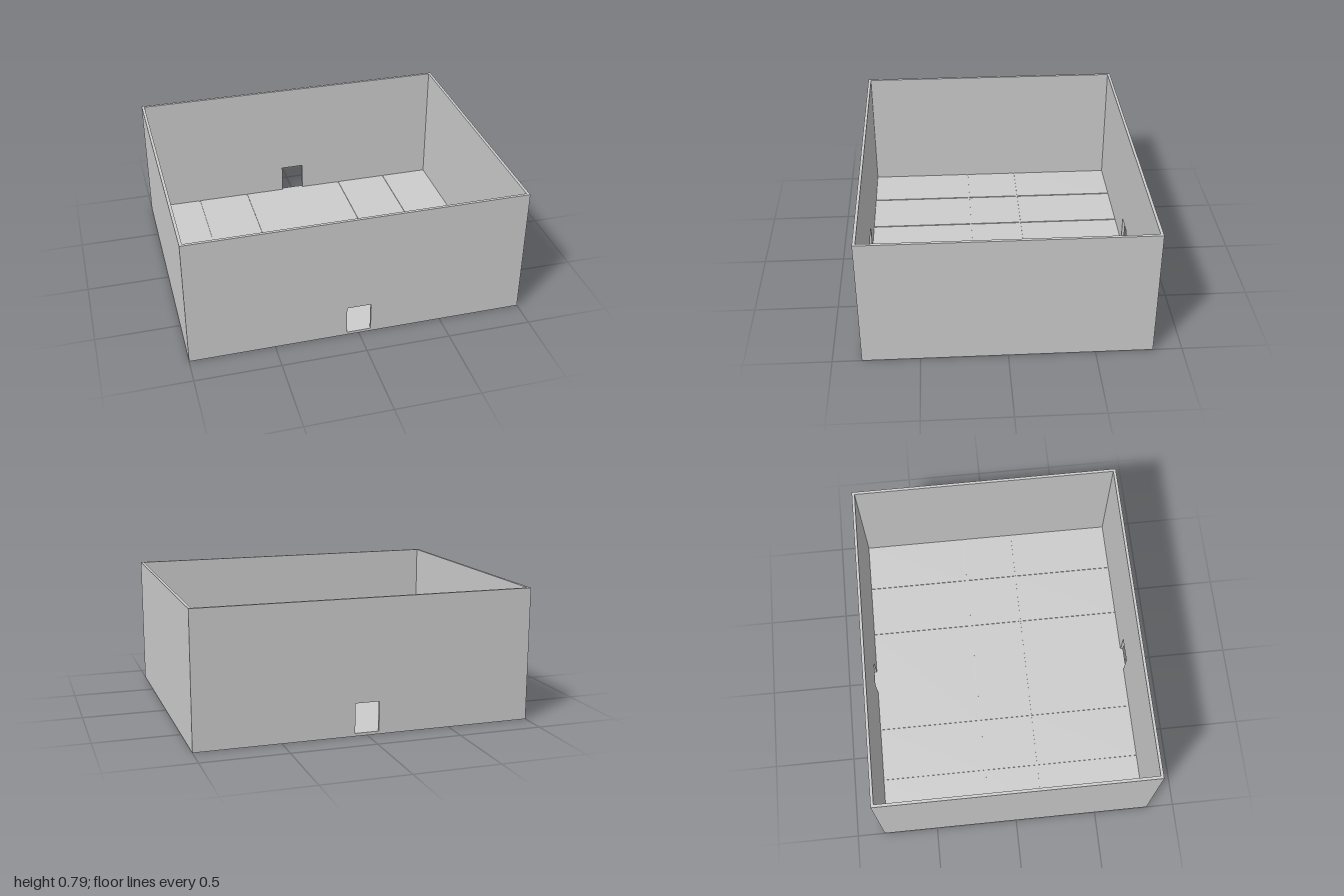
import * as THREE from 'three';

const W = 2, D = 1.664, H = 0.79;      // outer size
const T = 0.017;                       // wall and floor thickness
const GROOVE = 0.01, BASE = 0.012;     // floor joint width, slab height

export function createModel() {
  const model = new THREE.Group();
  model.name = 'openRoom';
  const grey = new THREE.MeshStandardMaterial({ color: 0xcccccc });
  grey.name = 'plain grey';

  const add = (name, geometry, x, y, z) => {
    const mesh = new THREE.Mesh(geometry, grey);
    mesh.name = name;
    mesh.position.set(x, y, z);
    model.add(mesh);
  };

  // Front and back walls, each with a doorway just above the floor
  const wall = new THREE.Shape([
    new THREE.Vector2(-W / 2, 0), new THREE.Vector2(W / 2, 0),
    new THREE.Vector2(W / 2, H), new THREE.Vector2(-W / 2, H),
  ]);
  wall.holes.push(new THREE.Path([
    new THREE.Vector2(-0.072, T), new THREE.Vector2(-0.072, 0.192),
    new THREE.Vector2(0.072, 0.192), new THREE.Vector2(0.072, T),
  ]));
  const wallGeometry = new THREE.ExtrudeGeometry(wall, { depth: T, bevelEnabled: false });
  add('frontWall', wallGeometry, 0, 0, D / 2 - T);
  add('backWall', wallGeometry, 0, 0, -D / 2);

  // Side walls fit between the front and back walls
  const innerD = D - 2 * T;
  const sideGeometry = new THREE.BoxGeometry(T, H, innerD);
  add('leftWall', sideGeometry, W / 2 - T / 2, H / 2, 0);
  add('rightWall', sideGeometry, -W / 2 + T / 2, H / 2, 0);

  // Floor slab carrying panels separated by narrow grooves
  const innerW = W - 2 * T;
  add('floorSlab', new THREE.BoxGeometry(innerW, BASE, innerD), 0, BASE / 2, 0);
  const xs = [-innerW / 2, -0.667, -0.333, 0.333, 0.667, innerW / 2];
  const zs = [-innerD / 2, -0.167, 0.167, innerD / 2];
  const spans = (edges) => edges.slice(1).map((end, i) => {
    const a = edges[i] + (i > 0 ? GROOVE / 2 : 0);
    const b = end - (i < edges.length - 2 ? GROOVE / 2 : 0);
    return { size: b - a, mid: (a + b) / 2 };
  });
  for (const sx of spans(xs)) {
    for (const sz of spans(zs)) {
      add('floorPanel', new THREE.BoxGeometry(sx.size, T - BASE, sz.size),
        sx.mid, (T + BASE) / 2, sz.mid);
    }
  }
  return model;
}
